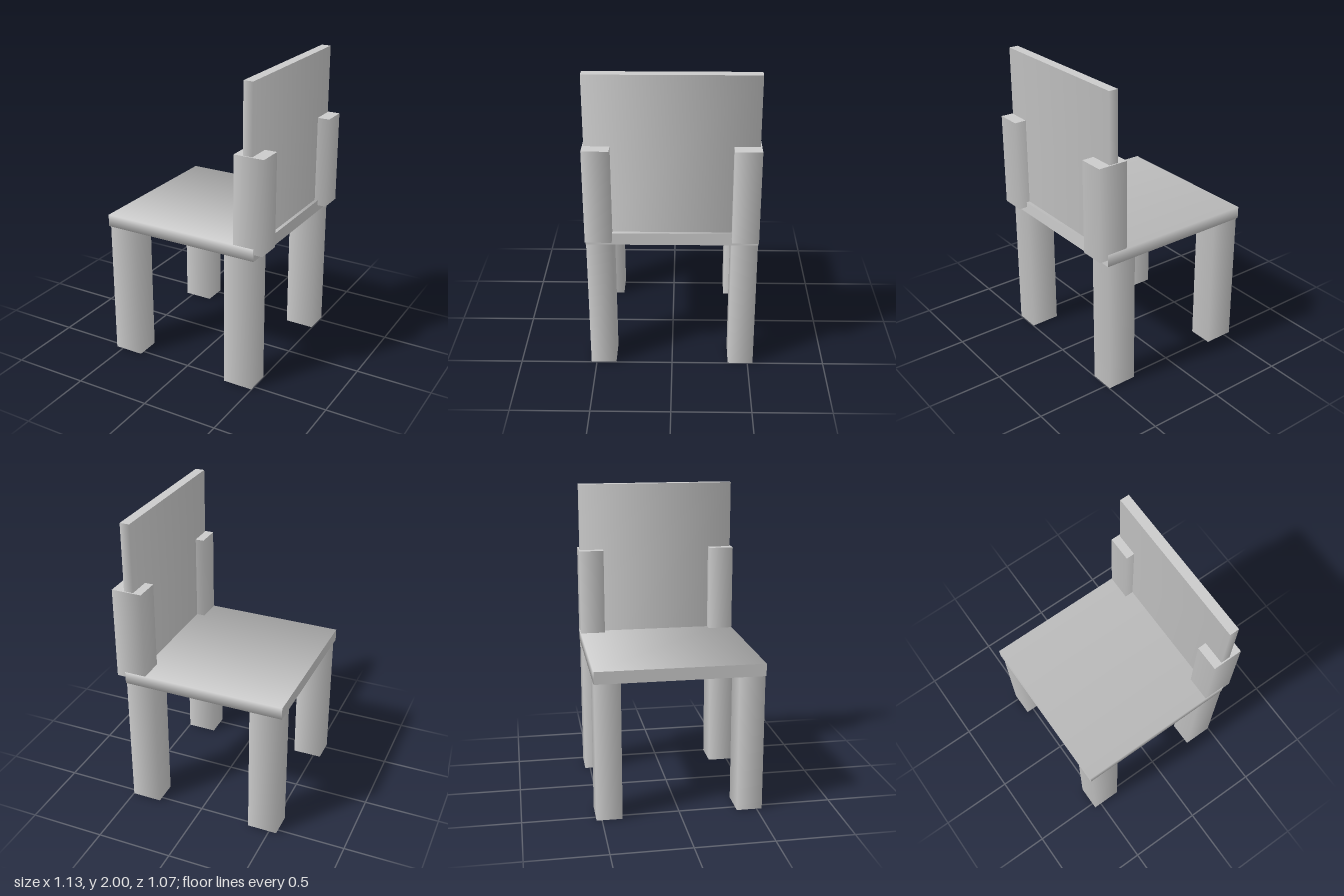
import * as THREE from 'three';

const material = new THREE.MeshStandardMaterial({ color: 0xcccccc });

// Four-sided prism between two corners: softly shaded sides around its axis, flat ends.
function prism(name, min, max, axis = 'y') {
  const geometry = new THREE.CylinderGeometry(Math.SQRT1_2, Math.SQRT1_2, 1, 4, 1, false, Math.PI / 4);
  if (axis === 'x') geometry.rotateZ(-Math.PI / 2);
  // Move only the positions, so the corner normals stay diagonal.
  const p = geometry.attributes.position;
  const lerp = (i, v) => THREE.MathUtils.lerp(min[i], max[i], v + 0.5);
  for (let i = 0; i < p.count; i++) {
    p.setXYZ(i, lerp(0, p.getX(i)), lerp(1, p.getY(i)), lerp(2, p.getZ(i)));
  }
  const mesh = new THREE.Mesh(geometry, material);
  mesh.name = name;
  return mesh;
}

export function createModel() {
  const chair = new THREE.Group();
  chair.name = 'chair';

  // Seat board, shaded around its length
  chair.add(prism('seat', [-0.565, 0.9, -0.537], [0.505, 0.98, 0.537], 'x'));

  // Upright back panel, resting in the seat
  chair.add(prism('backPanel', [0.42, 0.95, -0.526], [0.482, 2, 0.526]));

  // Legs and back posts on both sides
  for (const side of [-1, 1]) {
    const z0 = side < 0 ? -0.535 : 0.37;
    const z1 = z0 + 0.165;
    const label = side < 0 ? 'Far' : 'Near';
    chair.add(prism('frontLeg' + label, [-0.55, 0, z0], [-0.352, 0.9, z1]));
    chair.add(prism('rearLeg' + label, [0.3, 0, z0], [0.498, 0.9, z1]));
    chair.add(prism('backPost' + label, [0.363, 0.945, z0], [0.562, 1.555, z1]));
  }
  return chair;
}
